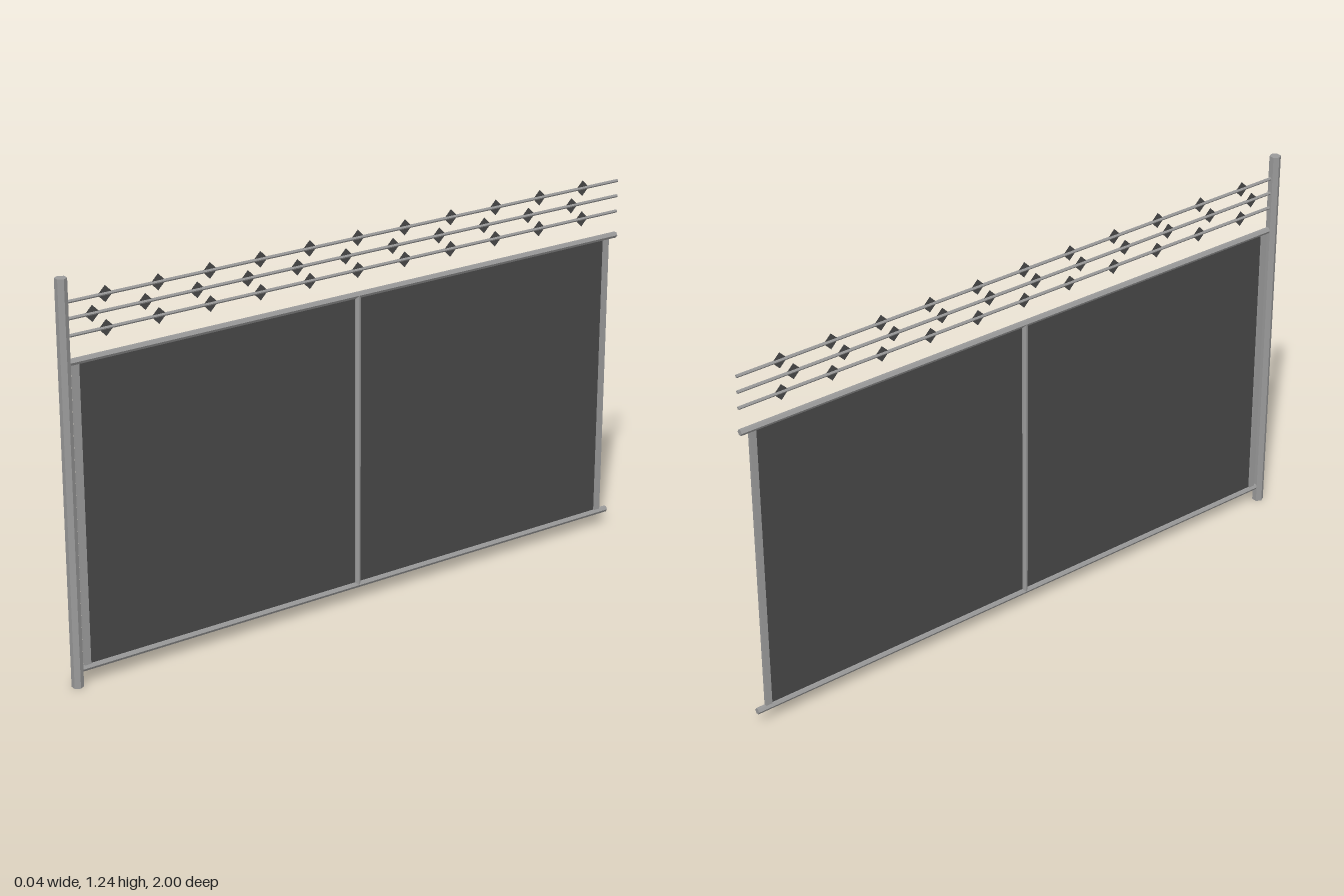
import * as THREE from 'three';

export function createModel() {
  const group = new THREE.Group();
  group.name = 'fencePanel';

  const material = (name, color, side = THREE.FrontSide) =>
    new THREE.MeshStandardMaterial({ name, color, side, flatShading: true });
  const steel = material('galvanised steel', 0x9a9a9a);
  const darkMesh = material('dark mesh', 0x484848, THREE.DoubleSide);

  const add = (name, geometry, mat, x, y, z) => {
    const mesh = new THREE.Mesh(geometry, mat);
    mesh.name = name;
    mesh.position.set(x, y, z);
    group.add(mesh);
    return mesh;
  };

  // Six-sided bar with two corners on the x axis
  const hexBar = (radius, length) =>
    new THREE.CylinderGeometry(radius, radius, length, 6, 1, false, Math.PI / 6);

  // Tall end post and slim middle post
  add('endPost', hexBar(0.018, 1.24), steel, 0, 0.62, 0.984);
  add('middlePost', hexBar(0.01, 0.935), steel, 0, 0.522, -0.005);

  // Horizontal rails and wires run from the post to the open end
  const zFront = 0.969, zBack = -1;
  const along = (name, radius, y) => {
    const bar = hexBar(radius, zFront - zBack).rotateX(Math.PI / 2);
    add(name, bar, steel, 0, y, (zFront + zBack) / 2);
  };
  along('topRail', 0.01, 0.991);
  along('bottomRail', 0.01, 0.053);

  // Mesh infill with a flat strip at each end
  add('meshPanel', new THREE.PlaneGeometry(1.888, 0.935).rotateY(Math.PI / 2), darkMesh, 0, 0.522, -0.005);
  for (const z of [0.95, -0.96]) {
    add('edgeStrip', new THREE.BoxGeometry(0.01, 0.93, 0.021), steel, 0, 0.522, z);
  }

  // Three wires with flat diamond barbs, the middle row staggered
  const diamond = new THREE.CircleGeometry(0.025, 4).rotateY(Math.PI / 2);
  const rows = [
    { y: 1.068, start: 0.847 },
    { y: 1.118, start: 0.89 },
    { y: 1.167, start: 0.847 },
  ];
  for (const { y, start } of rows) {
    along('wire', 0.005, y);
    for (let i = 0; i < 11; i++) add('barb', diamond, darkMesh, 0, y, start - i * 0.1706);
  }

  return group;
}
